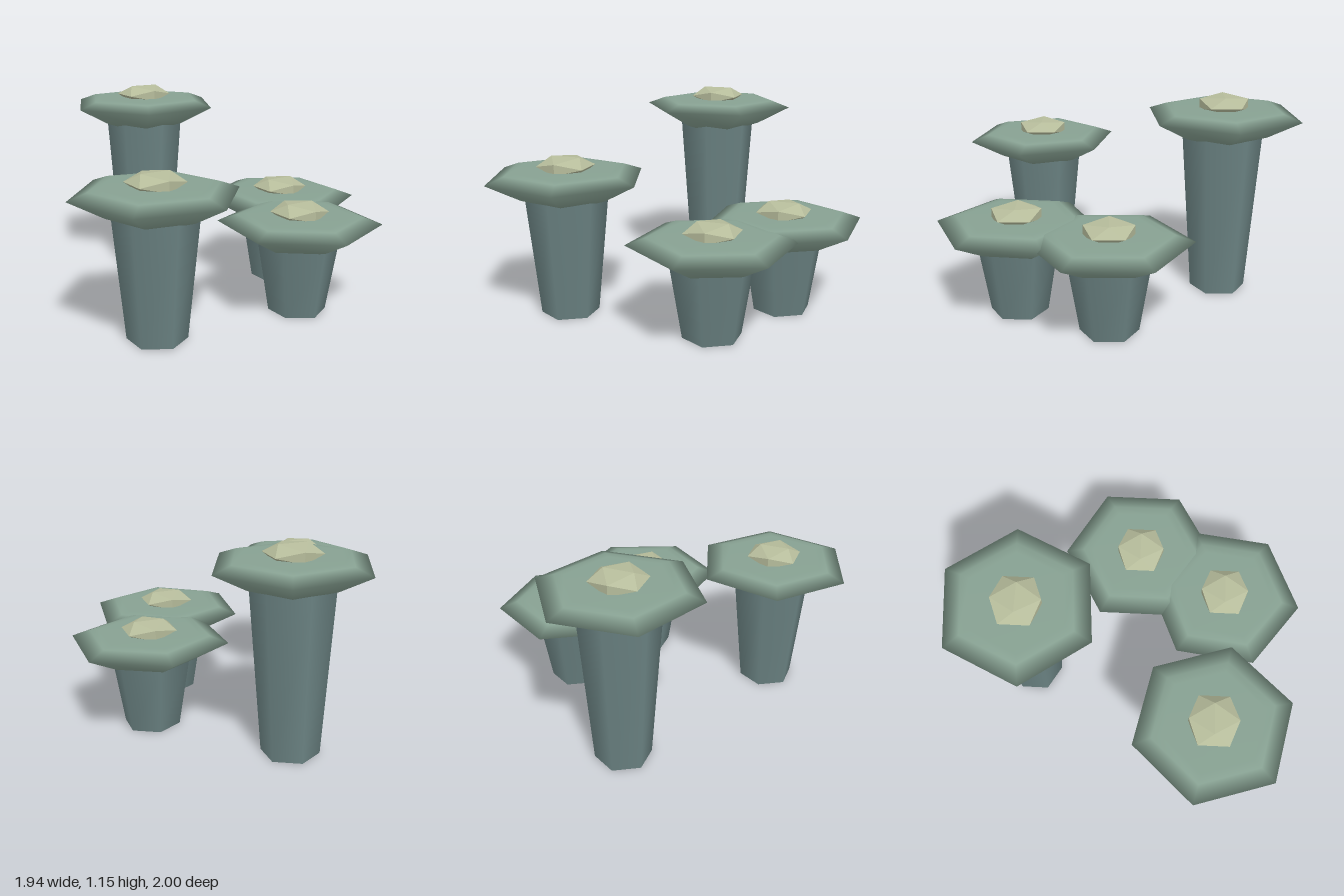
import * as THREE from 'three';

const stemMat = new THREE.MeshStandardMaterial({ color: 0x6c8484 });
stemMat.name = 'slate teal';
const capMat = new THREE.MeshStandardMaterial({ color: 0x87a192 });
capMat.name = 'sage green';
const crownMat = new THREE.MeshStandardMaterial({ color: 0xb6bc9b, flatShading: true });
crownMat.name = 'pale straw';

// Cap cross-section: radius, height above the cap's underside
const capProfile = [
  [0, 0], [0.2, 0], [0.26, 0.02], [0.45, 0.122], [0.345, 0.16], [0.29, 0.166], [0, 0.167],
].map(([r, y]) => new THREE.Vector2(r, y));

function mesh(geometry, material, name, y) {
  const m = new THREE.Mesh(geometry, material);
  m.name = name;
  m.position.y = y;
  return m;
}

// One stalk: tapered six-sided stem, wide six-sided cap, faceted crown
function createStalk(x, z, top, turn) {
  const stalk = new THREE.Group();
  stalk.name = 'stalk';
  stalk.position.set(x, 0, z);

  const capBase = top - 0.167;
  const stemHeight = capBase + 0.03;
  stalk.add(mesh(new THREE.CylinderGeometry(0.228, 0.16, stemHeight, 6), stemMat, 'stem', stemHeight / 2));

  const cap = mesh(new THREE.LatheGeometry(capProfile, 6), capMat, 'cap', capBase);
  cap.rotation.y = THREE.MathUtils.degToRad(turn);
  stalk.add(cap);

  const crown = mesh(new THREE.IcosahedronGeometry(0.16, 0), crownMat, 'crown', top + 0.018);
  crown.scale.y = 0.36;
  stalk.add(crown);
  return stalk;
}

export function createModel() {
  const model = new THREE.Group();
  model.name = 'stalkCluster';
  // x, z, cap top height, cap turn in degrees
  const layout = [
    [-0.53, 0.475, 0.816, 17.5],
    [-0.005, -0.592, 1.083, 35],
    [0.58, 0.043, 0.55, 0],
    [0.328, 0.55, 0.55, -7],
  ];
  for (const spot of layout) model.add(createStalk(...spot));
  return model;
}
